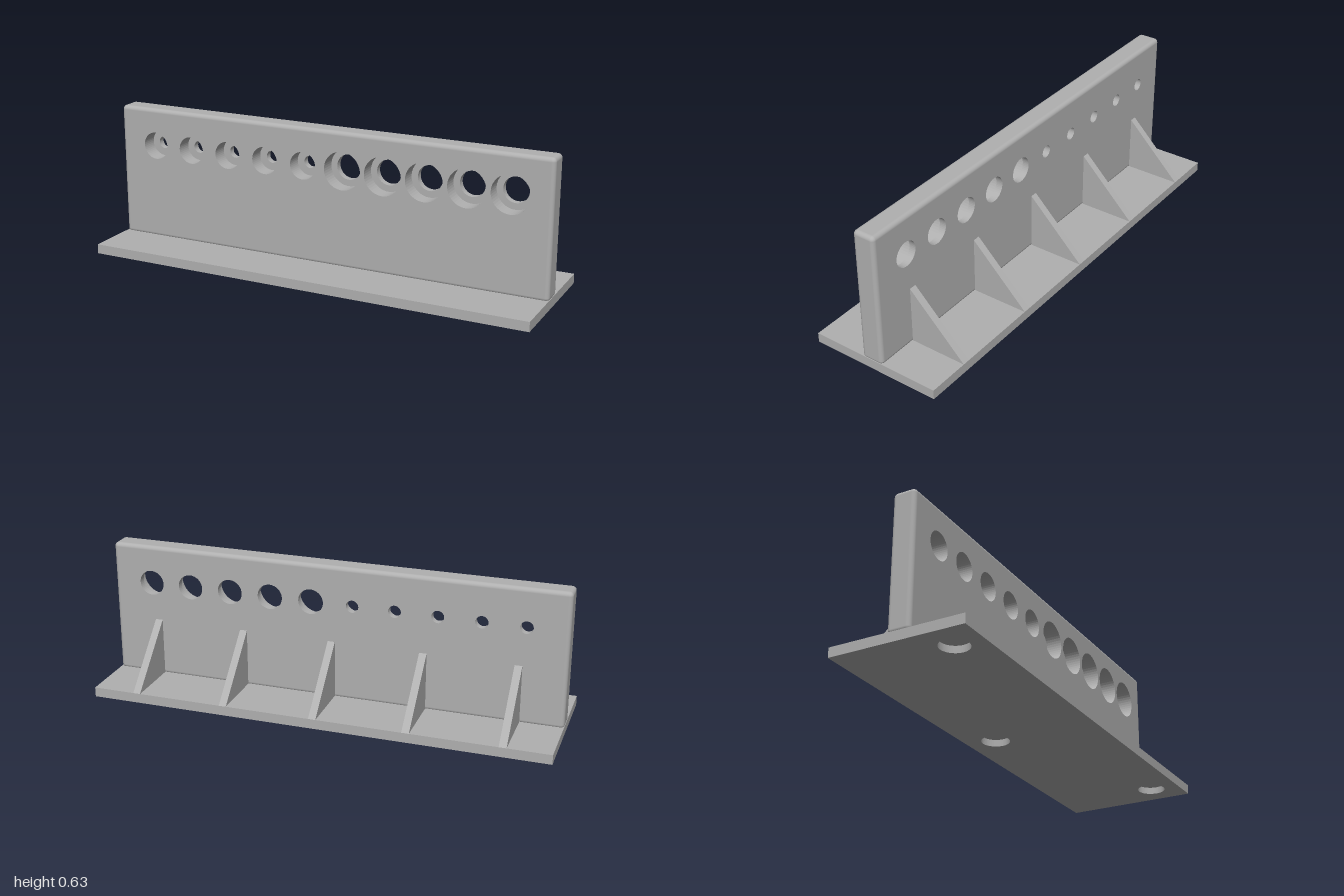
import * as THREE from 'three';
import { RoundedBoxGeometry } from 'three/addons/geometries/RoundedBoxGeometry.js';

const BASE_H = 0.042, BASE_D = 0.584;
const WALL_Y0 = 0.034, WALL_Y1 = 0.627, WALL_Z0 = -0.04, WALL_Z1 = 0.06, WALL_R = 0.018;

// Rectangular shape pierced by round holes given as [x, y, radius]
function piercedRect(x0, y0, x1, y1, holes) {
  const shape = new THREE.Shape();
  shape.moveTo(x0, y0).lineTo(x1, y0).lineTo(x1, y1).lineTo(x0, y1).closePath();
  for (const [x, y, r] of holes) {
    shape.holes.push(new THREE.Path().absarc(x, y, r, 0, Math.PI * 2, true));
  }
  return shape;
}

const extrude = (shape, depth) =>
  new THREE.ExtrudeGeometry(shape, { depth, bevelEnabled: false, curveSegments: 24 });

// Rounded box shell without its flat front and back faces
function roundedRim(w, h, d, r) {
  const box = new RoundedBoxGeometry(w, h, d, 4, r);
  const src = box.index ? box.toNonIndexed() : box;
  const p = src.attributes.position, n = src.attributes.normal;
  const pos = [], nor = [];
  for (let i = 0; i < p.count; i += 3) {
    const flat = [0, 1, 2].every((k) => Math.abs(p.getZ(i + k)) > d / 2 - 1e-5);
    if (flat) continue;
    for (let k = i; k < i + 3; k++) {
      pos.push(p.getX(k), p.getY(k), p.getZ(k));
      nor.push(n.getX(k), n.getY(k), n.getZ(k));
    }
  }
  const geo = new THREE.BufferGeometry();
  geo.setAttribute('position', new THREE.Float32BufferAttribute(pos, 3));
  geo.setAttribute('normal', new THREE.Float32BufferAttribute(nor, 3));
  return geo;
}

export function createModel() {
  const model = new THREE.Group();
  model.name = 'gaugeStand';
  const grey = new THREE.MeshStandardMaterial({ color: 0xb0b0b0 });
  grey.name = 'plastic grey';

  const add = (name, geo, parent = model) => {
    const mesh = new THREE.Mesh(geo, grey);
    mesh.name = name;
    parent.add(mesh);
    return mesh;
  };

  // Base: lower layer with three blind round pockets, closed by a thin top layer
  const pocketDepth = 0.03;
  const base = new THREE.Group();
  base.name = 'base';
  model.add(base);
  const pockets = [[-0.865, -0.165, 0.061], [0.865, -0.165, 0.061], [0, 0.165, 0.061]];
  const lower = extrude(piercedRect(-1, -BASE_D / 2, 1, BASE_D / 2, pockets), pocketDepth);
  add('basePocketLayer', lower.rotateX(-Math.PI / 2), base);
  const top = BASE_H - pocketDepth;
  add('baseTopLayer', new THREE.BoxGeometry(2, top, BASE_D), base).position.y = pocketDepth + top / 2;

  // Wall: ten counterbored holes, five small and five large
  const wall = new THREE.Group();
  wall.name = 'wall';
  model.add(wall);
  const bores = [], throughs = [];
  for (let i = 0; i < 10; i++) {
    const x = (i - 4.5) * 0.1835, large = i > 4;
    bores.push([x, 0.46, large ? 0.083 : 0.06]);
    throughs.push([x, 0.46, large ? 0.055 : 0.027]);
  }
  const inner = [-1 + WALL_R, WALL_Y0 + WALL_R, 1 - WALL_R, WALL_Y1 - WALL_R];
  const lip = 0.03;
  add('wallBackLayer', extrude(piercedRect(...inner, throughs), lip), wall).position.z = WALL_Z0;
  add('wallFrontLayer', extrude(piercedRect(...inner, bores), WALL_Z1 - WALL_Z0 - lip), wall)
    .position.z = WALL_Z0 + lip;
  add('wallRoundedRim', roundedRim(2, WALL_Y1 - WALL_Y0, WALL_Z1 - WALL_Z0, WALL_R), wall)
    .position.set(0, (WALL_Y0 + WALL_Y1) / 2, (WALL_Z0 + WALL_Z1) / 2);

  // Triangular ribs bracing the back of the wall
  const ribW = 0.032;
  const tri = new THREE.Shape();
  tri.moveTo(-WALL_Z0, BASE_H).lineTo(BASE_D / 2, BASE_H).lineTo(-WALL_Z0, 0.292).closePath();
  const ribGeo = extrude(tri, ribW).translate(0, 0, -ribW / 2).rotateY(Math.PI / 2);
  for (let i = -2; i <= 2; i++) add('rib', ribGeo).position.x = i * 0.4;

  return model;
}
